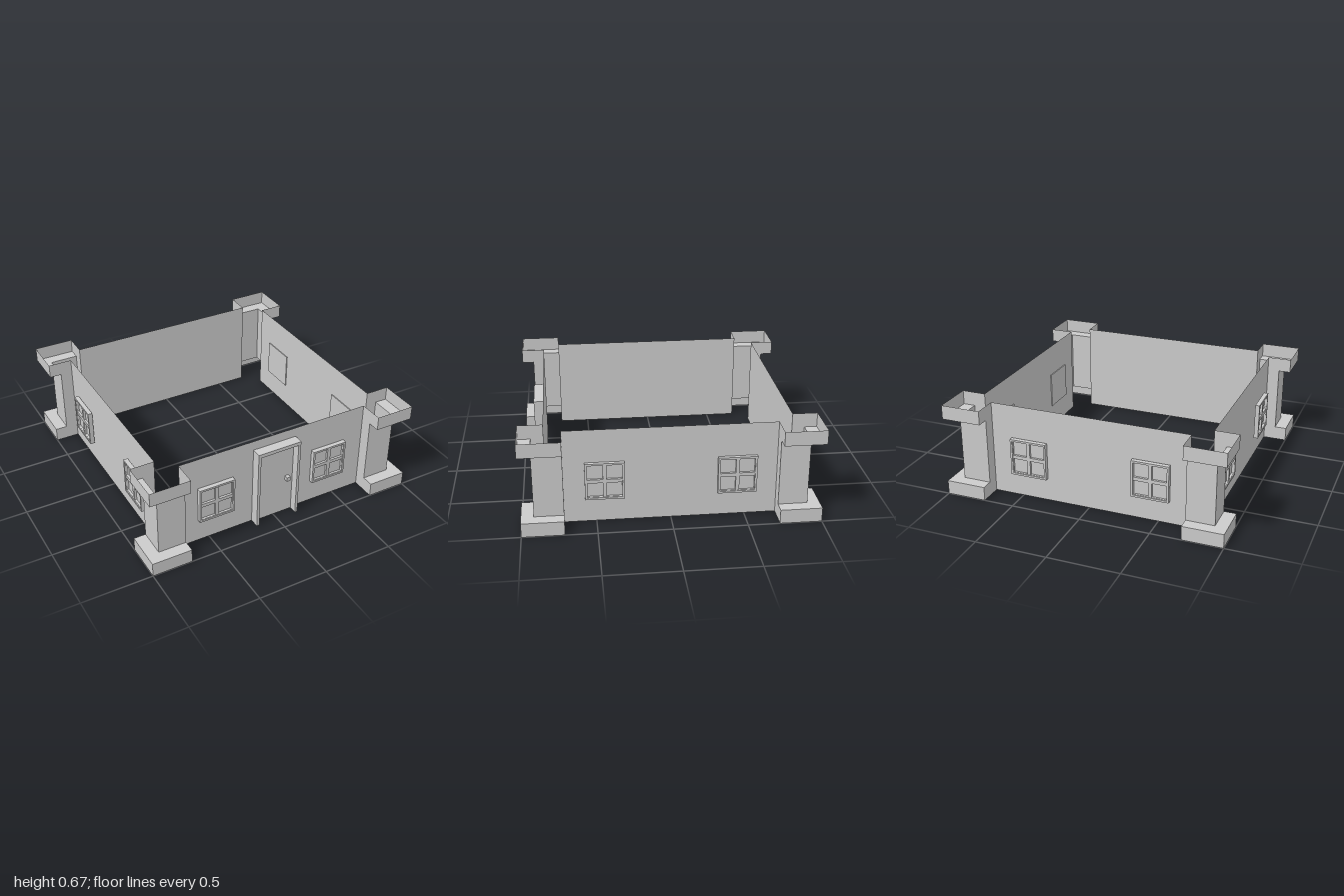
import * as THREE from 'three';

const H = 0.67, WALL = 0.83, END = 0.715, SHAFT = 0.915, BAND = 1;
const material = new THREE.MeshStandardMaterial({ color: 0xcccccc, flatShading: true, side: THREE.DoubleSide });

function add(parent, name, geometry, x = 0, y = 0, z = 0) {
  const mesh = new THREE.Mesh(geometry, material);
  mesh.name = name;
  mesh.position.set(x, y, z);
  parent.add(mesh);
  return mesh;
}

// Rectangle centred on (x, y), as a shape or a hole
function rect(w, h, x = 0, y = 0, Type = THREE.Shape) {
  const p = new Type();
  p.moveTo(x - w / 2, y - h / 2);
  p.lineTo(x + w / 2, y - h / 2);
  p.lineTo(x + w / 2, y + h / 2);
  p.lineTo(x - w / 2, y + h / 2);
  p.closePath();
  return p;
}

function framed(shape, holes, depth) {
  shape.holes.push(...holes);
  return new THREE.ExtrudeGeometry(shape, { depth, bevelEnabled: false });
}

// Vertical surface standing on a plan line of [x, z] points
function ribbon(points, y0, y1) {
  const v = [];
  for (let i = 0; i < points.length - 1; i++) {
    const [ax, az] = points[i], [bx, bz] = points[i + 1];
    v.push(ax, y0, az, bx, y0, bz, bx, y1, bz, ax, y0, az, bx, y1, bz, ax, y1, az);
  }
  const g = new THREE.BufferGeometry();
  g.setAttribute('position', new THREE.Float32BufferAttribute(v, 3));
  g.computeVertexNormals();
  return g;
}

// Corner pillar: hollow shaft with wider open bands at foot and head
function createPillar() {
  const pillar = new THREE.Group();
  pillar.name = 'cornerPillar';
  const plan = r => [[WALL, END], [r, END], [r, r], [END, r], [END, WALL]];
  add(pillar, 'pillarBase', ribbon(plan(BAND), 0, 0.1));
  add(pillar, 'pillarShaft', ribbon(plan(SHAFT), 0.1, 0.57));
  add(pillar, 'pillarCap', ribbon(plan(BAND), 0.57, H));
  const ledge = new THREE.Shape([
    [END, SHAFT], [SHAFT, SHAFT], [SHAFT, END], [BAND, END], [BAND, BAND], [END, BAND],
  ].map(([x, z]) => new THREE.Vector2(x, -z)));
  for (const [name, y] of [['baseLedge', 0.1], ['capLedge', 0.57]]) {
    add(pillar, name, new THREE.ShapeGeometry(ledge).rotateX(-Math.PI / 2), 0, y);
  }
  return pillar;
}

// Four-pane window with its back on z = 0
function createWindow() {
  const win = new THREE.Group();
  win.name = 'window';
  const size = 0.264, inner = 0.236;
  add(win, 'windowFrame', framed(rect(size, size), [rect(inner, inner, 0, 0, THREE.Path)], 0.032));
  const holes = [];
  for (const x of [-1, 1]) for (const y of [-1, 1]) {
    holes.push(rect(0.103, 0.103, x * 0.064, y * 0.064, THREE.Path));
  }
  add(win, 'glazingBars', framed(rect(inner, inner), holes, 0.026));
  add(win, 'panes', new THREE.BoxGeometry(size - 0.004, size - 0.004, 0.01), 0, 0, 0.005);
  return win;
}

function createDoor() {
  const door = new THREE.Group();
  door.name = 'door';
  const outline = [
    [-0.165, 0], [-0.145, 0], [-0.145, 0.573], [0.144, 0.573],
    [0.144, 0], [0.163, 0], [0.163, 0.6], [-0.165, 0.6],
  ].map(p => new THREE.Vector2(...p));
  add(door, 'doorFrame', framed(new THREE.Shape(outline), [], 0.07));
  add(door, 'doorLeaf', new THREE.BoxGeometry(0.289, 0.573, 0.012), 0, 0.2865, 0.006);
  add(door, 'doorKnob', new THREE.BoxGeometry(0.027, 0.032, 0.03), 0.098, 0.289, 0.027);
  door.position.z = WALL;
  return door;
}

export function createModel() {
  const model = new THREE.Group();
  model.name = 'building';

  // One entry per side: name, turn, window depth, window centres along the wall
  const sides = [
    ['front', 0, 0.83, [-0.45, 0.433]],
    ['left', Math.PI / 2, 0.823, [-0.441, 0.446]],
    ['back', Math.PI, 0.838, [-0.433, 0.45]],
    ['right', -Math.PI / 2, 0.843, [-0.446, 0.441]],
  ];
  for (const [name, turn, depth, centres] of sides) {
    const side = new THREE.Group();
    side.name = name + 'Side';
    add(side, name + 'Wall', new THREE.PlaneGeometry(2 * END, H), 0, H / 2, WALL);
    for (const x of centres) {
      const win = createWindow();
      win.position.set(x, 0.303, depth);
      side.add(win);
    }
    side.add(createPillar());
    if (name === 'front') side.add(createDoor());
    side.rotation.y = turn;
    model.add(side);
  }
  return model;
}
